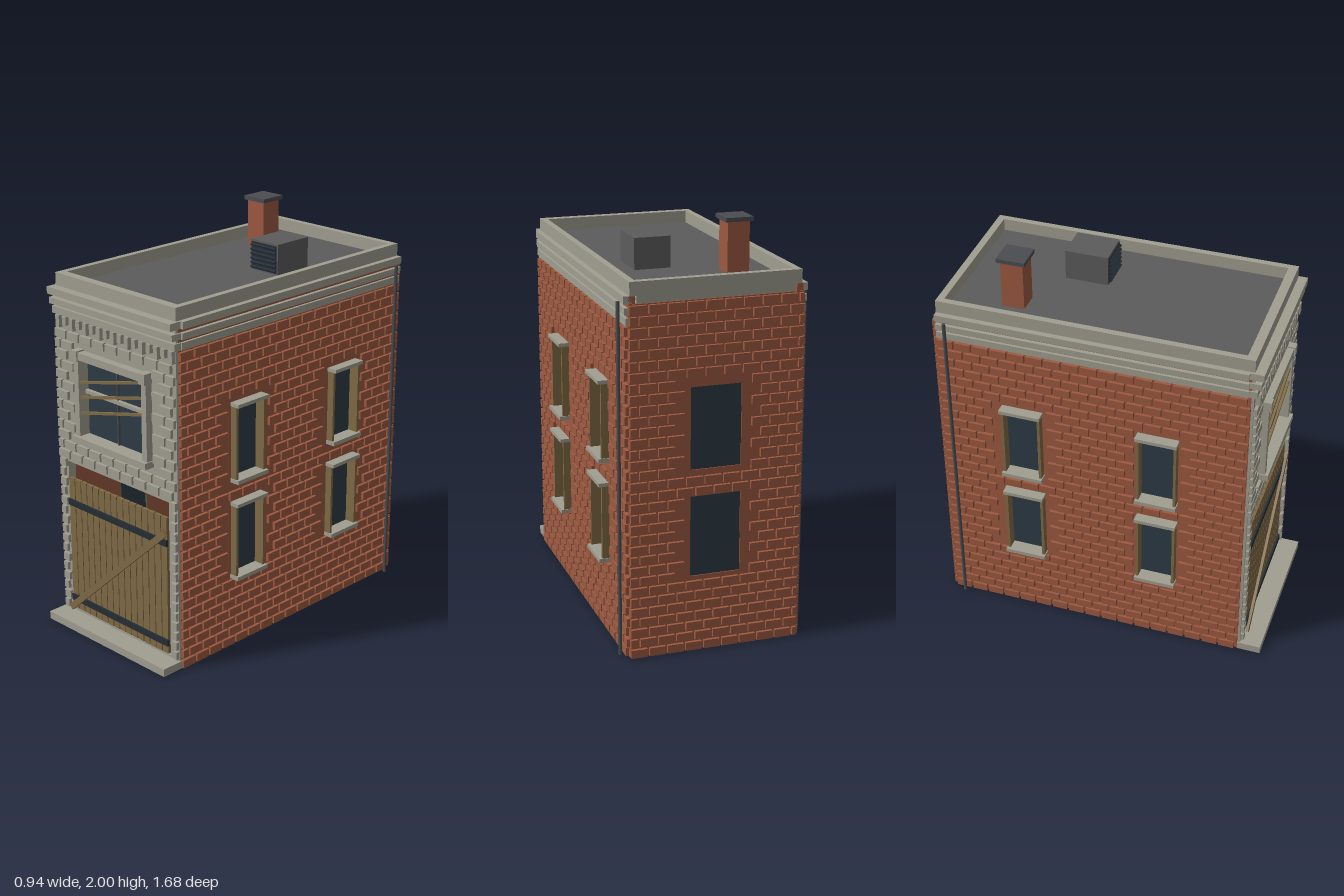
import * as THREE from 'three';
import { mergeGeometries } from 'three/addons/utils/BufferGeometryUtils.js';

const mat = (name, color) => {
  const m = new THREE.MeshStandardMaterial({ color });
  m.name = name;
  return m;
};

export function createModel() {
  const brick = mat('brick', 0x9c5940);
  const stone = mat('stone', 0xa09e90);
  const wood = mat('wood', 0x7f6a45);
  const glass = mat('glass', 0x2d3a45);
  const iron = mat('iron', 0x252d35);
  const roofing = mat('roofing', 0x5c5c5c);
  const metal = mat('metal', 0x4a4c50);
  const model = new THREE.Group();
  model.name = 'townhouse';

  // Box geometry from its lower and upper limits on each axis
  const span = (x0, x1, y0, y1, z0, z1) =>
    new THREE.BoxGeometry(x1 - x0, y1 - y0, z1 - z0)
      .translate((x0 + x1) / 2, (y0 + y1) / 2, (z0 + z1) / 2);
  const add = (parent, name, geometry, material) => {
    const mesh = new THREE.Mesh(geometry, material);
    mesh.name = name;
    parent.add(mesh);
    return mesh;
  };
  const box = (parent, name, material, ...limits) => add(parent, name, span(...limits), material);

  // Flat wall with rectangular openings [u0, u1, y0, y1]; its outer face is at z
  function wall(parent, name, material, u0, u1, y0, y1, z, depth, openings) {
    const rect = (C, a, b, c, d) => {
      const p = new C();
      p.moveTo(a, c);
      p.lineTo(b, c);
      p.lineTo(b, d);
      p.lineTo(a, d);
      p.closePath();
      return p;
    };
    const shape = rect(THREE.Shape, u0, u1, y0, y1);
    for (const o of openings) shape.holes.push(rect(THREE.Path, ...o));
    const geometry = new THREE.ExtrudeGeometry(shape, { depth, bevelEnabled: false });
    add(parent, name, geometry.translate(0, 0, z - depth), material);
  }

  // Raised running-bond courses, left out around openings
  function courses(parent, name, material, u0, u1, y0, y1, z, openings) {
    const pitch = 0.0516, length = 0.09, gap = 0.011, parts = [];
    const rows = Math.round((y1 - y0) / pitch);
    for (let r = 0; r < rows; r++) {
      const b = y0 + r * pitch, t = b + pitch - gap;
      for (let u = u0 - (r % 2) * length / 2; u < u1 - 0.01; u += length) {
        const a = Math.max(u, u0), c = Math.min(u + length - gap, u1);
        if (c - a < 0.015) continue;
        const blocked = openings.some(o =>
          c > o[0] - 0.012 && a < o[1] + 0.012 && t > o[2] - 0.005 && b < o[3] + 0.005);
        if (!blocked) parts.push(span(a, c, b, t, z - 0.005, z + 0.016));
      }
    }
    add(parent, name, mergeGeometries(parts), material);
  }

  // Side walls with four framed windows each
  for (const s of [1, -1]) {
    const side = new THREE.Group();
    side.name = s > 0 ? 'leftSide' : 'rightSide';
    side.rotation.y = s * Math.PI / 2;
    model.add(side);
    const ends = [-s * 0.72, s * 0.815].sort((a, b) => a - b);
    const openings = [];
    for (const z of [0.285, -0.4]) {
      for (const y of [0.365, 0.87]) openings.push([-s * z - 0.1, -s * z + 0.1, y, y + 0.395]);
    }
    wall(side, 'sideWall', brick, ...ends, 0, 1.735, 0.415, 0.03, openings);
    courses(side, 'sideBricks', brick, ...ends, 0.003, 1.603, 0.415, openings);
    for (const [a, b, c, d] of openings) {
      const win = new THREE.Group();
      win.name = 'sideWindow';
      side.add(win);
      box(win, 'pane', glass, a, b, c, d, 0.39, 0.398);
      box(win, 'jamb', wood, a, a + 0.014, c + 0.015, d - 0.015, 0.385, 0.452);
      box(win, 'jamb', wood, b - 0.014, b, c + 0.015, d - 0.015, 0.385, 0.452);
      box(win, 'sill', stone, a - 0.004, b + 0.004, c - 0.005, c + 0.015, 0.385, 0.468);
      box(win, 'lintel', stone, a - 0.004, b + 0.004, d - 0.015, d + 0.003, 0.385, 0.468);
    }
  }

  // Back wall with two plain windows
  const back = new THREE.Group();
  back.name = 'back';
  back.rotation.y = Math.PI;
  model.add(back);
  const backOpenings = [[-0.123, 0.123, 0.375, 0.77], [-0.123, 0.123, 0.9, 1.295]];
  wall(back, 'backWall', brick, -0.415, 0.415, 0, 1.7, 0.82, 0.03, backOpenings);
  courses(back, 'backBricks', brick, -0.415, 0.415, 0.003, 1.7, 0.82, backOpenings);
  for (const o of backOpenings) box(back, 'backPane', glass, ...o, 0.806, 0.815);

  // Stone front with the doorway and the big window
  const front = new THREE.Group();
  front.name = 'front';
  model.add(front);
  const frontOpenings = [[-0.36, 0.355, 0.05, 0.85], [-0.25, 0.25, 1.0, 1.455]];
  wall(front, 'frontWall', stone, -0.414, 0.414, 0, 1.735, 0.733, 0.045, frontOpenings);
  courses(front, 'frontStones', stone, -0.41, 0.41, 0.87, 1.55, 0.733, [frontOpenings[1]]);
  const quoins = [];
  for (let i = 0; i < 16; i++) {
    const y = 0.05 + i * 0.0516, w = i % 2 ? 0.035 : 0.022;
    quoins.push(span(-0.405, -0.405 + w + 0.008, y, y + 0.04, 0.728, 0.749));
    quoins.push(span(0.412 - w, 0.412, y, y + 0.04, 0.728, 0.749));
  }
  add(front, 'quoins', mergeGeometries(quoins), stone);

  const bigWindow = new THREE.Group();
  bigWindow.name = 'frontWindow';
  front.add(bigWindow);
  box(bigWindow, 'pane', glass, -0.23, 0.23, 1.01, 1.44, 0.702, 0.71);
  for (const s of [-1, 1]) {
    box(bigWindow, 'jamb', stone, s * 0.235 - 0.016, s * 0.235 + 0.016, 1.03, 1.42, 0.69, 0.77);
    box(bigWindow, 'cornerBlock', stone, s * 0.235 - 0.02, s * 0.235 + 0.02, 1.41, 1.462, 0.69, 0.782);
  }
  box(bigWindow, 'lintel', stone, -0.25, 0.25, 1.418, 1.455, 0.69, 0.775);
  box(bigWindow, 'sill', stone, -0.257, 0.257, 0.998, 1.03, 0.69, 0.787);
  box(bigWindow, 'middleRail', stone, -0.22, 0.22, 1.24, 1.258, 0.7, 0.73);
  box(bigWindow, 'mullion', metal, -0.004, 0.004, 1.03, 1.42, 0.7, 0.722);
  for (const y of [1.2, 1.28, 1.355]) {
    const board = add(bigWindow, 'nailedBoard', new THREE.BoxGeometry(0.45, 0.013, 0.012), wood);
    board.position.set(0, y, 0.757);
    board.rotation.z = 0.24;
  }

  // Boarded gate across the doorway
  const gate = new THREE.Group();
  gate.name = 'gate';
  model.add(gate);
  const planks = 16, plankPitch = 0.7 / planks;
  for (let i = 0; i < planks; i++) {
    const x = -0.352 + i * plankPitch;
    box(gate, 'plank', wood, x, x + plankPitch - 0.005, 0.055, 0.768, 0.722, 0.738);
  }
  for (const y of [0.115, 0.64]) box(gate, 'ironBand', iron, -0.352, 0.348, y - 0.016, y + 0.016, 0.736, 0.748);
  const brace = add(gate, 'brace', new THREE.BoxGeometry(0.945, 0.032, 0.014), wood);
  brace.position.set(0, 0.38, 0.754);
  brace.rotation.z = Math.atan2(0.64, 0.7);

  // Floor and front step
  box(model, 'floor', stone, -0.414, 0.414, 0, 0.02, -0.815, 0.73);
  box(model, 'frontStep', stone, -0.42, 0.42, 0, 0.04, 0.72, 0.84);

  // Cornice tiers: [bottom, top, side reach, front reach]
  const tiers = [[1.602, 1.637, 0.428, 0.748], [1.652, 1.683, 0.434, 0.765], [1.702, 1.737, 0.438, 0.776]];
  for (const [y0, y1, x, z] of tiers) {
    for (const s of [-1, 1]) {
      const [a, b] = s < 0 ? [-x, -0.39] : [0.39, x];
      box(model, 'sideCornice', stone, a, b, y0, y1, -0.815, 0.71);
    }
    box(model, 'frontCornice', stone, -0.422, 0.422, y0, y1, 0.7, z);
  }
  const dentils = [];
  for (let i = 0; i < 17; i++) {
    const x = -0.39 + i * 0.0485, drop = i % 2 ? 0.042 : 0.06;
    dentils.push(span(x, x + 0.026, 1.602 - drop, 1.602, 0.728, 0.757));
  }
  add(model, 'dentils', mergeGeometries(dentils), stone);

  // Roof deck and parapet
  box(model, 'roofDeck', roofing, -0.39, 0.39, 1.715, 1.738, -0.8, 0.7);
  for (const s of [-1, 1]) {
    const [a, b] = s < 0 ? [-0.41, -0.378] : [0.378, 0.41];
    box(model, 'parapetSide', stone, a, b, 1.735, 1.8, -0.815, 0.73);
  }
  box(model, 'parapetFront', stone, -0.378, 0.378, 1.735, 1.8, 0.685, 0.73);
  box(model, 'parapetBack', stone, -0.378, 0.378, 1.7, 1.8, -0.815, -0.78);

  // Chimney
  box(model, 'chimney', brick, -0.26, -0.152, 1.735, 1.982, -0.54, -0.428);
  box(model, 'chimneyCap', metal, -0.274, -0.138, 1.98, 2.0, -0.554, -0.414);

  // Roof vent with louvres
  box(model, 'ventBox', roofing, 0.056, 0.234, 1.735, 1.89, -0.335, -0.12);
  box(model, 'ventOpening', iron, 0.064, 0.226, 1.745, 1.88, -0.121, -0.116);
  for (let i = 0; i < 6; i++) {
    const slat = add(model, 'louvre', new THREE.BoxGeometry(0.16, 0.006, 0.016), iron);
    slat.position.set(0.145, 1.758 + i * 0.022, -0.113);
    slat.rotation.x = 0.4;
  }

  // Downpipes near the back corners
  for (const s of [-1, 1]) {
    const pipe = add(model, 'downpipe', new THREE.CylinderGeometry(0.009, 0.009, 1.705, 10), metal);
    pipe.position.set(s * 0.448, 0.8525, -0.763);
  }
  return model;
}
